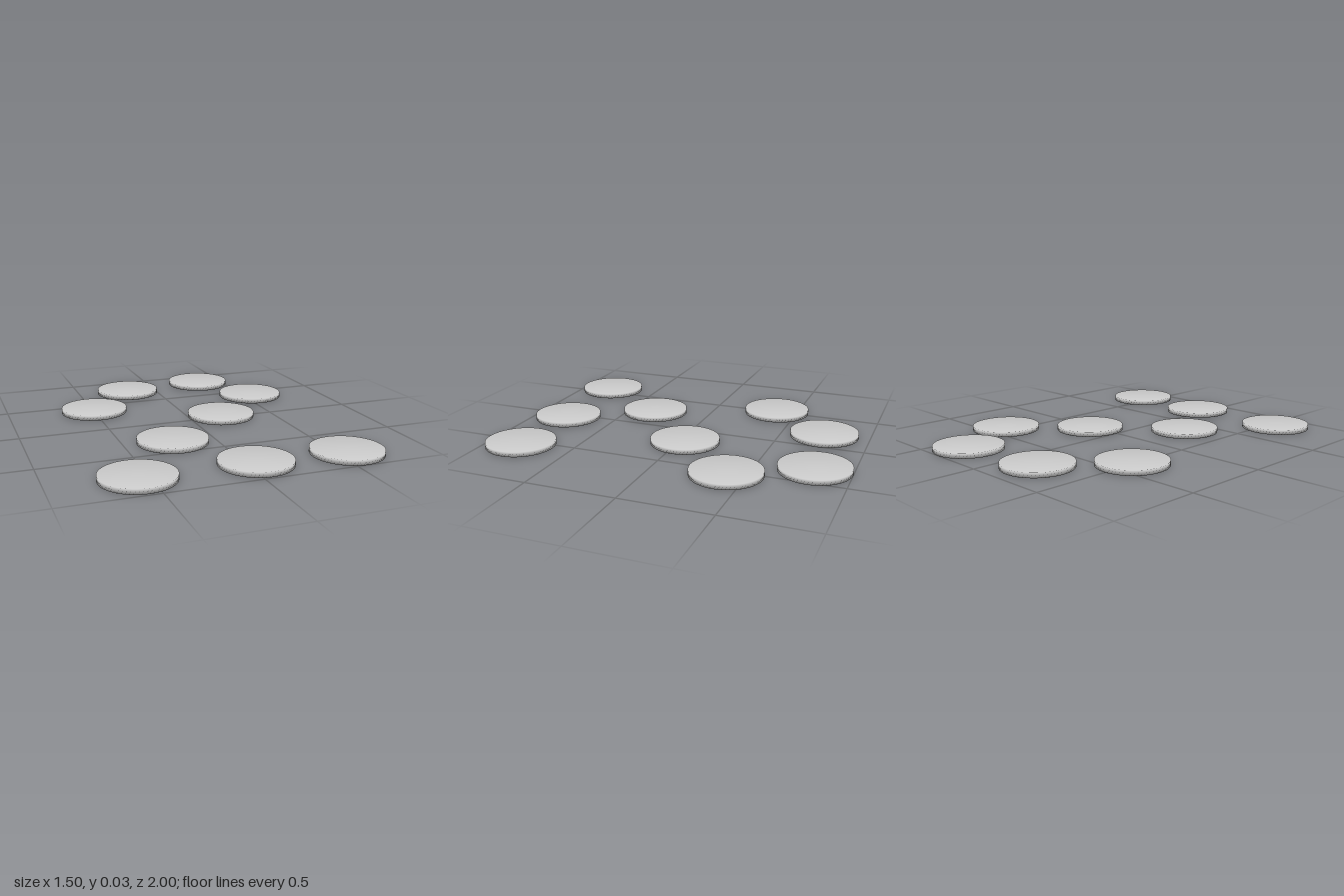
import * as THREE from 'three';
import { mergeVertices } from 'three/addons/utils/BufferGeometryUtils.js';

const RADIUS = 0.195;
const HEIGHT = 0.028;

// Disc centres on the ground as [x, z], from back to front
const CENTRES = [
  [0.33, -0.805], [-0.188, -0.743],
  [0.543, -0.396], [-0.497, -0.378],
  [0.193, -0.034], [-0.233, 0.333],
  [-0.56, 0.792], [0.047, 0.793], [0.555, 0.805],
];

// Thin disc whose caps and rim share vertices, so the rim shades softly
function discGeometry() {
  const cylinder = new THREE.CylinderGeometry(RADIUS, RADIUS, HEIGHT, 64);
  cylinder.deleteAttribute('uv');
  cylinder.deleteAttribute('normal');
  const disc = mergeVertices(cylinder, 1e-5);
  disc.computeVertexNormals();
  return disc.translate(0, HEIGHT / 2, 0);
}

export function createModel() {
  const model = new THREE.Group();
  model.name = 'scatteredDiscs';
  const material = new THREE.MeshStandardMaterial({ color: 0xcccccc });
  const geometry = discGeometry();

  CENTRES.forEach(([x, z], i) => {
    const disc = new THREE.Mesh(geometry, material);
    disc.name = `disc${i + 1}`;
    disc.position.set(x, 0, z);
    model.add(disc);
  });
  return model;
}
